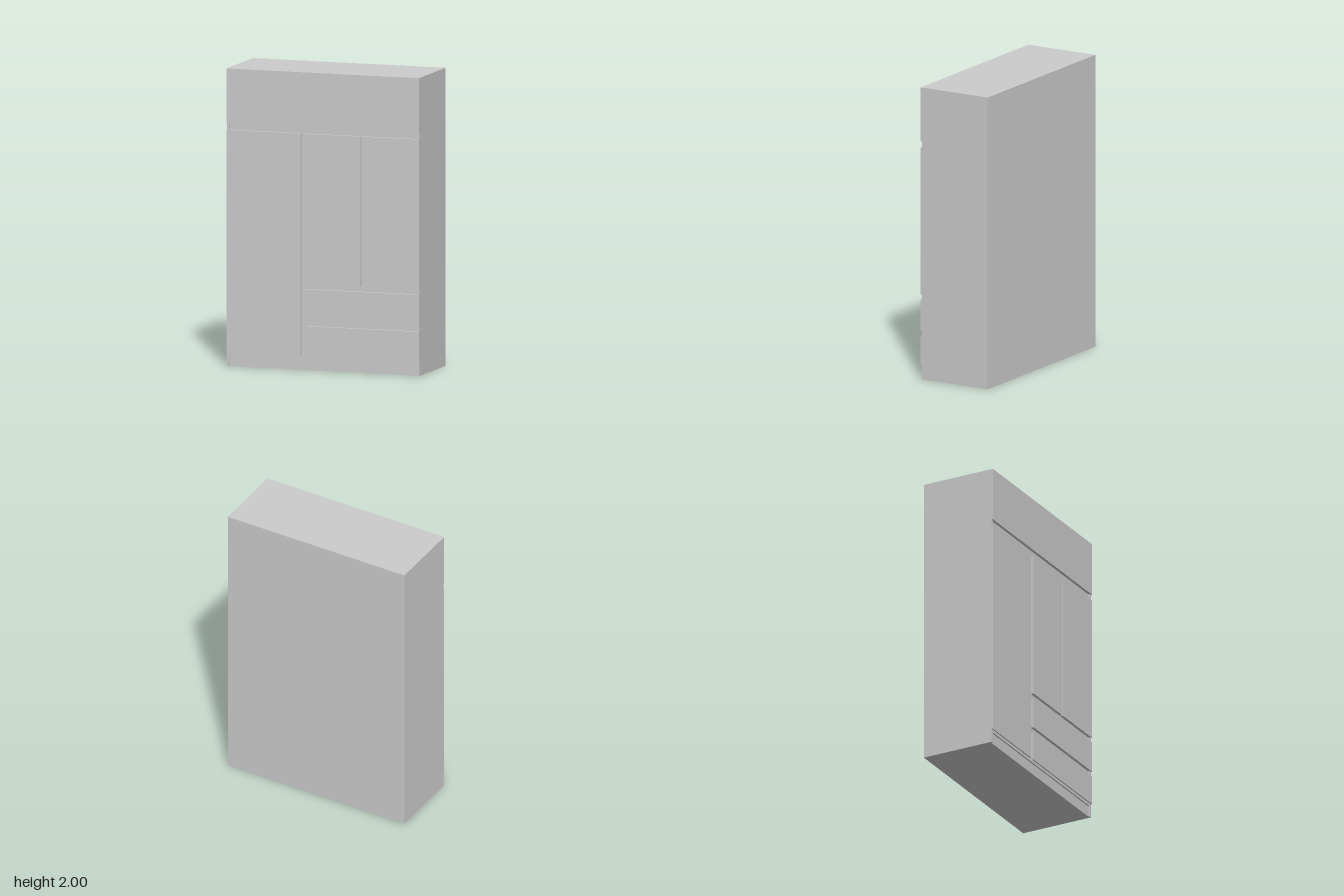
import * as THREE from 'three';

export function createModel() {
  const group = new THREE.Group();
  const material = new THREE.MeshStandardMaterial({ color: 0xcccccc });

  // Box given by its limits on each axis
  const panel = (name, x0, x1, y0, y1, z0, z1) => {
    const mesh = new THREE.Mesh(new THREE.BoxGeometry(x1 - x0, y1 - y0, z1 - z0), material);
    mesh.name = name;
    mesh.position.set((x0 + x1) / 2, (y0 + y1) / 2, (z0 + z1) / 2);
    group.add(mesh);
  };

  const W = 0.68, INNER = 0.66;            // outer and inner half widths
  const BACK = -0.262, FRONT = 0.262;      // back face and door faces
  const FRAME = 0.253, RECESS = 0.243;     // side panel edges and recessed rails

  // Closed cabinet body; its front shows as the plinth and in the door gaps
  panel('cabinetBody', -INNER, INNER, 0, 2, BACK, RECESS);
  panel('rightSidePanel', -W, -INNER, 0, 2, BACK, FRAME);
  panel('leftSidePanel', INNER, W, 0, 2, BACK, FRAME);
  panel('bottomBoard', -INNER, INNER, 0.075, 0.095, RECESS, FRAME);

  // Doors and drawer fronts: name, x range, y range
  const fronts = [
    ['topDoor', -W, W, 1.63, 2],
    ['tallDoor', -W, -0.155, 0.095, 1.588],
    ['middleDoor', -0.123, 0.268, 0.58, 1.588],
    ['sideDoor', 0.28, W, 0.58, 1.588],
    ['upperDrawer', -0.123, W, 0.332, 0.545],
    ['lowerDrawer', -0.123, W, 0.095, 0.297],
  ];
  // Each front reaches back to the body between the side panels
  for (const [name, x0, x1, y0, y1] of fronts) panel(name, x0, x1, y0, y1, RECESS, FRONT);

  return group;
}
